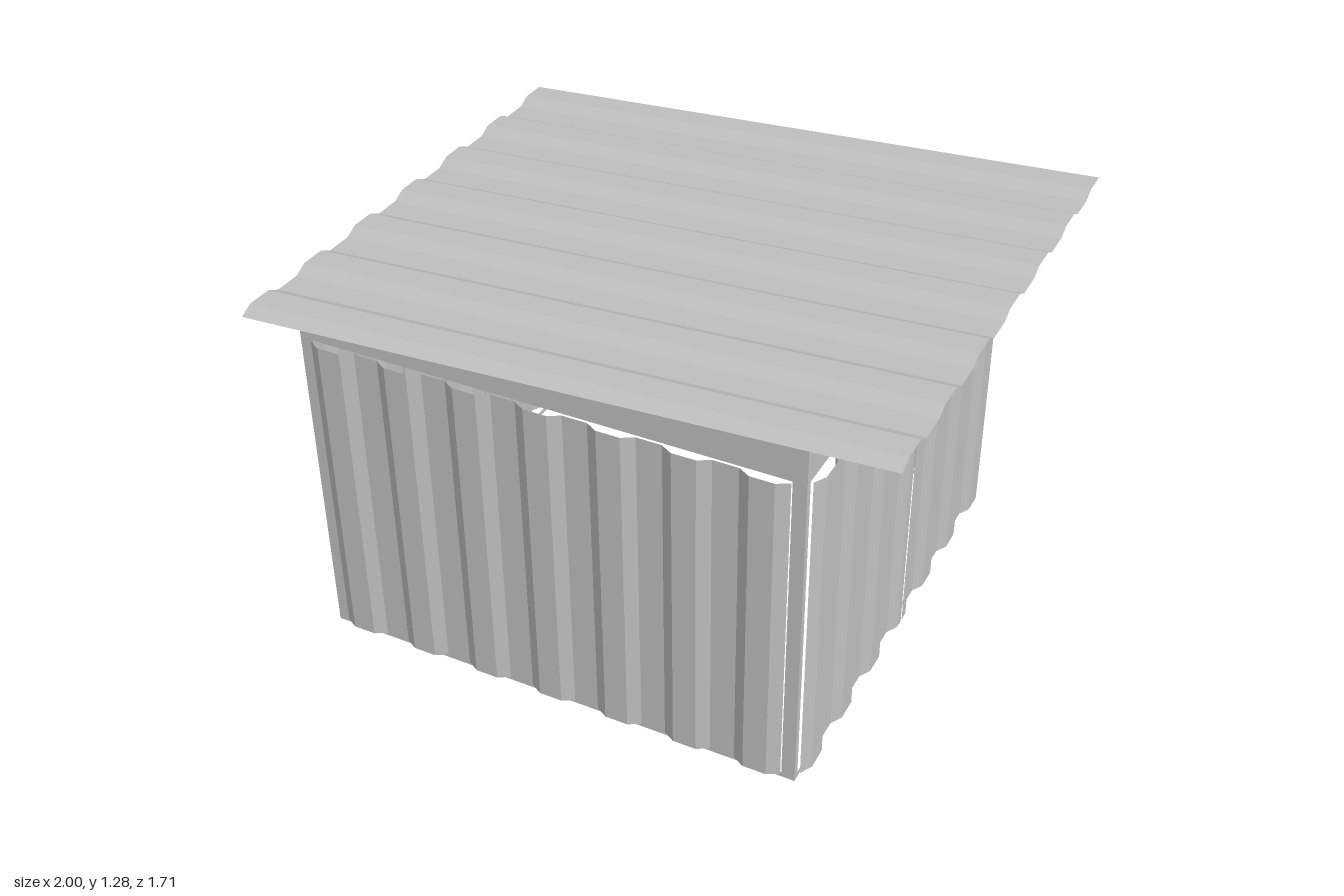
import * as THREE from 'three';

const CX = -0.0725;            // wall block centre in x
const HX = 0.795, HZ = 0.773;  // half sizes of the wall block
const LOW = 1.13, HIGH = 1.222; // wall tops on the -x and +x sides
const PANEL_W = 1.506, PANEL_Y0 = 0.018, PANEL_Y1 = 1.068;
const WAVE = 0.021, CRESTS = 7;

// Trapezoid wave as [along, outward] points: rise, crest, fall, trough
function waveProfile(width) {
  const k = width / 1.71, points = [];
  for (let i = 0; i < CRESTS; i++) {
    const u = -width / 2 + i * 0.257 * k;
    points.push([u, 0], [u + 0.042 * k, WAVE], [u + 0.126 * k, WAVE], [u + 0.168 * k, 0]);
  }
  return points;
}

// Flat-faced sheet: x along the profile, y from y0 to y1, z outward
function sheetGeometry(profile, y0, y1) {
  const pos = [];
  for (let i = 0; i + 1 < profile.length; i++) {
    const [a, wa] = profile[i], [b, wb] = profile[i + 1];
    pos.push(a, y0, wa, b, y0, wb, b, y1, wb, a, y0, wa, b, y1, wb, a, y1, wa);
  }
  const geo = new THREE.BufferGeometry();
  geo.setAttribute('position', new THREE.Float32BufferAttribute(pos, 3));
  geo.computeVertexNormals();
  return geo;
}

// Flat wall frame with a rectangular opening behind the cladding
function frameGeometry(half, topLeft, topRight) {
  const shape = new THREE.Shape([
    new THREE.Vector2(-half, 0), new THREE.Vector2(half, 0),
    new THREE.Vector2(half, topRight), new THREE.Vector2(-half, topLeft),
  ]);
  const w = PANEL_W / 2;
  shape.holes.push(new THREE.Path([
    new THREE.Vector2(-w, PANEL_Y0), new THREE.Vector2(-w, PANEL_Y1),
    new THREE.Vector2(w, PANEL_Y1), new THREE.Vector2(w, PANEL_Y0),
  ]));
  return new THREE.ShapeGeometry(shape);
}

export function createModel() {
  const model = new THREE.Group();
  model.name = 'shed';
  const steel = new THREE.MeshStandardMaterial({ color: 0xc0c0c0, side: THREE.DoubleSide, flatShading: true });
  steel.name = 'galvanised steel';

  const add = (parent, name, geometry, z = 0) => {
    const mesh = new THREE.Mesh(geometry, steel);
    mesh.name = name;
    mesh.position.z = z;
    parent.add(mesh);
    return mesh;
  };

  const profile = waveProfile(PANEL_W);
  const gap = 0.004;
  const doorLeaves = [
    [...profile.filter((p) => p[0] < -gap), [-gap, WAVE]],
    [[gap, WAVE], ...profile.filter((p) => p[0] > gap)],
  ];

  // Four walls, each a frame with cladding just outside it
  const walls = [
    { name: 'frontWall', angle: 0, half: HX, dist: HZ, tops: [LOW, HIGH], sheets: [profile] },
    { name: 'backWall', angle: Math.PI, half: HX, dist: HZ, tops: [HIGH, LOW], sheets: [profile] },
    { name: 'doorWall', angle: Math.PI / 2, half: HZ, dist: HX, tops: [HIGH, HIGH], sheets: doorLeaves },
    { name: 'lowWall', angle: -Math.PI / 2, half: HZ, dist: HX, tops: [LOW, LOW], sheets: [profile] },
  ];
  for (const { name, angle, half, dist, tops, sheets } of walls) {
    const wall = new THREE.Group();
    wall.name = name;
    wall.position.x = CX;
    wall.rotation.y = angle;
    add(wall, name + 'Frame', frameGeometry(half, ...tops), dist);
    sheets.forEach((sheet, i) => {
      const part = sheets.length > 1 ? 'doorLeaf' + (i + 1) : name + 'Cladding';
      add(wall, part, sheetGeometry(sheet, PANEL_Y0, PANEL_Y1), dist + 0.008);
    });
    model.add(wall);
  }

  // Sloping roof sheet with ridges running along x
  const roof = sheetGeometry(waveProfile(1.712), -1, 1);
  roof.applyMatrix4(new THREE.Matrix4().makeBasis(
    new THREE.Vector3(0, 0, 1), new THREE.Vector3(1, 0.055, 0), new THREE.Vector3(0, 1, 0),
  ));
  roof.computeVertexNormals();
  add(model, 'roof', roof).position.y = 1.2;

  return model;
}
